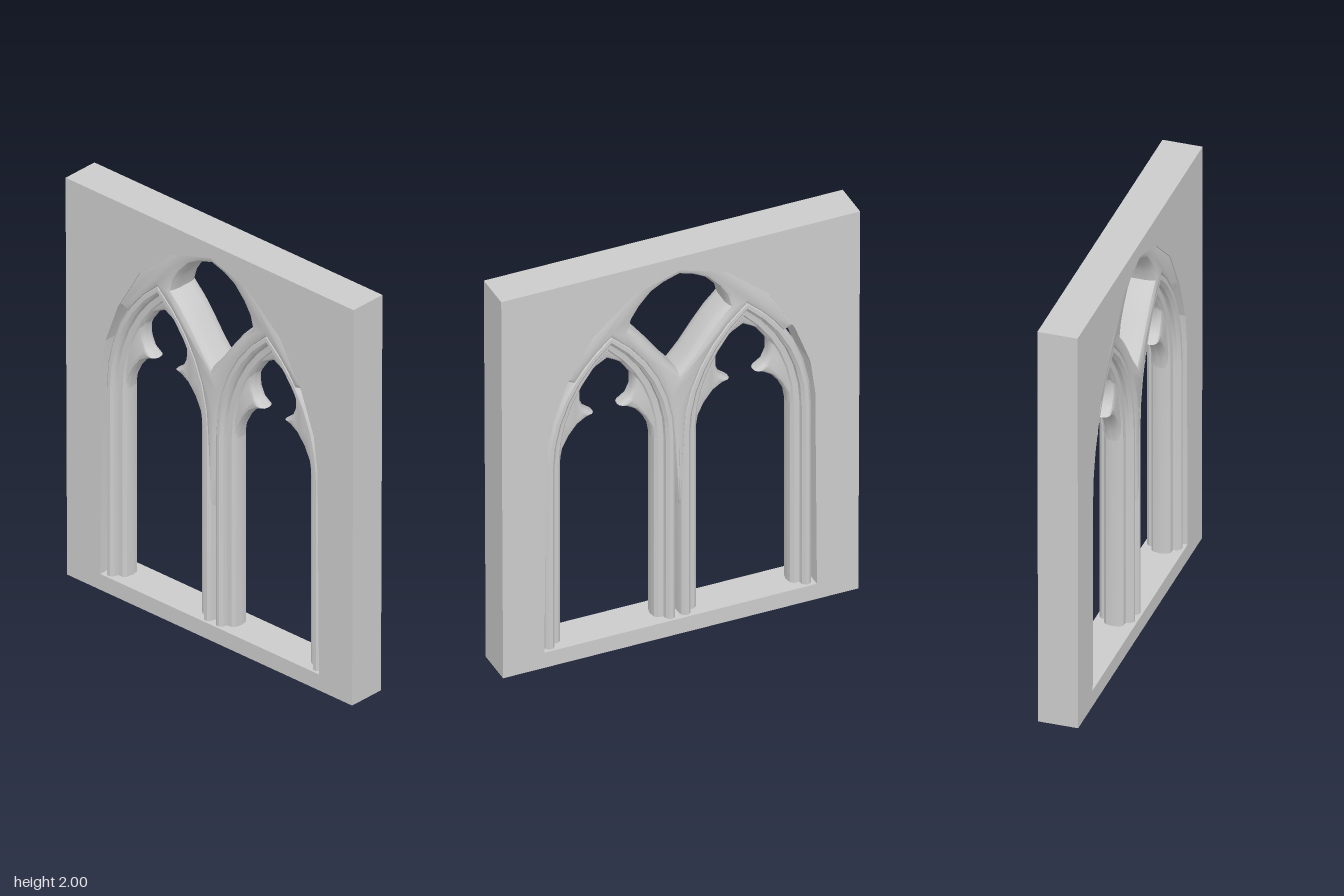
import * as THREE from 'three';
import { toCreasedNormals } from 'three/addons/utils/BufferGeometryUtils.js';

const DEPTH = 0.093;                       // half thickness of the wall
const SILL = 0.08, SPRING = 1.03;          // sill top, where the arches start
const CX = 0.327, W = 0.317, RISE = 0.64;  // light centre, half width, arch rise
const R = (W * W + RISE * RISE) / (2 * W); // arc radius of the pointed arch

const material = new THREE.MeshStandardMaterial({ color: 0xcccccc });

function addMesh(parent, name, geometry, crease = 0.6) {
  const mesh = new THREE.Mesh(toCreasedNormals(geometry, crease), material);
  mesh.name = name;
  parent.add(mesh);
  return mesh;
}

// Completes a half outline with its mirror image in x
function mirrored(half) {
  const other = half.filter(([x]) => Math.abs(x) > 1e-6).map(([x, y]) => [-x, y]).reverse();
  return [...half, ...other].map(([x, y]) => new THREE.Vector2(x, y));
}

// Right half of the light's pointed arch, inset by t, from angle a0 up to the apex
function arc(t, a0 = 0, n = 6) {
  const r = R - t, end = Math.acos((R - W) / r);
  return Array.from({ length: n + 1 }, (_, i) => {
    const a = a0 + (end - a0) * i / n;
    return [i === n ? 0 : r * Math.cos(a) - (R - W), SPRING + r * Math.sin(a)];
  });
}

// Plate centred on z = 0 whose edges are rounded inside the drawn outline
function plate(shape, halfDepth, bevel, thickness) {
  const g = new THREE.ExtrudeGeometry(shape, {
    depth: 2 * (halfDepth - thickness), bevelEnabled: bevel > 0, bevelSize: bevel,
    bevelOffset: -bevel, bevelThickness: thickness, bevelSegments: 3, steps: 1,
  });
  return g.translate(0, 0, thickness - halfDepth);
}

// Sweeps a closed section of [inset, z] up one jamb, over the arch and down the other
function archSweep(section) {
  const tracks = section.map(([t, z]) => {
    const half = [[W - t, SILL], ...arc(t)];
    return mirrored(half).map(p => [p.x, p.y, z]);
  });
  const stations = tracks[0].length, m = section.length;
  const pos = [], index = [];
  for (let i = 0; i < stations; i++) for (let j = 0; j < m; j++) pos.push(...tracks[j][i]);
  for (let i = 0; i < stations - 1; i++) {
    for (let j = 0; j < m; j++) {
      const k = (j + 1) % m;
      const a = i * m + j, b = a + m, c = (i + 1) * m + k, d = i * m + k;
      index.push(a, b, c, a, c, d);
    }
  }
  const g = new THREE.BufferGeometry();
  g.setAttribute('position', new THREE.Float32BufferAttribute(pos, 3));
  g.setIndex(index);
  return g;
}

export function createModel() {
  const model = new THREE.Group();
  model.name = 'traceryWindow';

  // Wall slab with the large pointed opening
  const wall = new THREE.Shape(mirrored([[0.855, 0], [0.864, 2]]));
  wall.holes.push(new THREE.Path(mirrored([
    [0.656, SILL], [0.648, 1.1], [0.625, 1.27], [0.55, 1.47], [0.42, 1.69], [0.22, 1.86], [0, 1.93],
  ])));
  addMesh(model, 'wall', plate(wall, DEPTH, 0, 0), 0.2);

  // Head of the tracery, between the two lights and the wall, with its eye
  const head = new THREE.Shape(mirrored([
    [0, 0.66],
    ...arc(0.025).map(([x, y]) => [CX - x, y]),
    ...arc(0.025, 0.566, 3).reverse().slice(1).map(([x, y]) => [CX + x, y]),
    [0.57, 1.475], [0.445, 1.715], [0.23, 1.89], [0, 1.965],
  ]));
  head.holes.push(new THREE.Path(mirrored([
    [0, 1.38], [0.055, 1.445], [0.12, 1.535], [0.175, 1.605], [0.235, 1.665],
    [0.22, 1.72], [0.185, 1.775], [0.13, 1.835], [0.07, 1.868], [0, 1.89],
  ])));
  addMesh(model, 'traceryHead', plate(head, 0.087, 0.03, 0.05));

  // Moulding section: an outer roll stepping down to a slimmer inner roll
  const front = [
    [0, 0.045], [0.005, 0.068], [0.018, 0.08], [0.035, 0.08], [0.049, 0.066], [0.052, 0.048],
    [0.064, 0.046], [0.078, 0.045], [0.091, 0.032],
  ];
  const section = [...front, [0.097, 0], ...front.map(([t, z]) => [t, -z]).reverse()];

  // Cusped filling of each light's head
  const foilOuter = mirrored(arc(0.05));
  const foilInner = mirrored([
    [0.22, SPRING], [0.21, 1.09], [0.18, 1.15], [0.14, 1.2], [0.1, 1.225], [0.06, 1.24],
    [0.105, 1.275], [0.125, 1.32], [0.126, 1.375], [0.11, 1.42], [0.085, 1.455], [0.045, 1.485], [0, 1.51],
  ]).reverse();
  const foil = new THREE.Shape([...foilOuter, ...foilInner]);

  for (const side of [1, -1]) {
    const light = new THREE.Group();
    light.name = side > 0 ? 'leftLight' : 'rightLight';
    light.position.x = side * CX;
    addMesh(light, 'archMoulding', archSweep(section));
    addMesh(light, 'cuspedFoil', plate(foil, 0.038, 0.02, 0.03));
    model.add(light);
  }
  return model;
}
